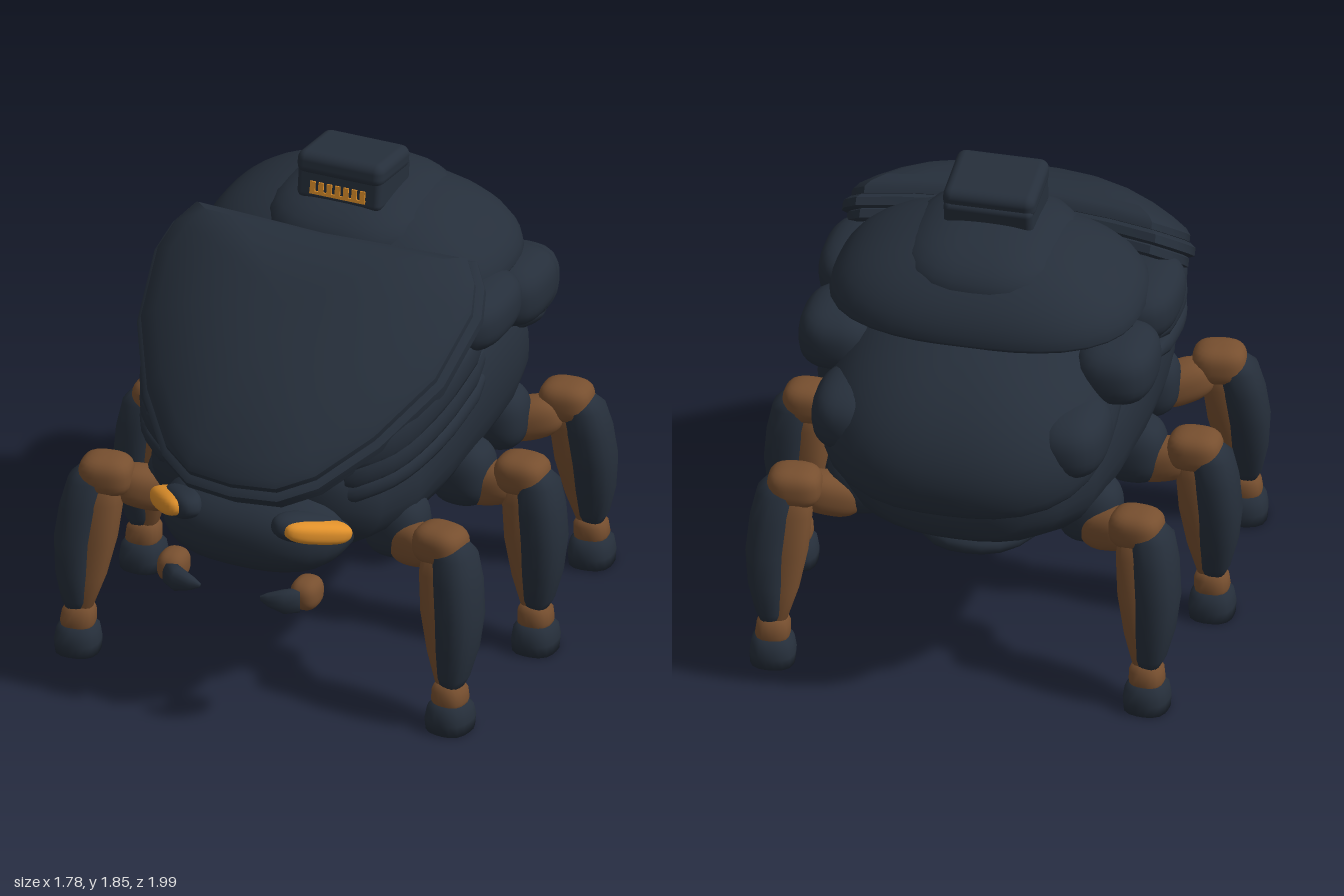
import * as THREE from 'three';
import { mergeVertices, toCreasedNormals } from 'three/addons/utils/BufferGeometryUtils.js';
import { RoundedBoxGeometry } from 'three/addons/geometries/RoundedBoxGeometry.js';

const V = (x, y, z) => new THREE.Vector3(x, y, z);
const paint = (name, color) => {
  const m = new THREE.MeshStandardMaterial({ color });
  m.name = name;
  return m;
};

// Superellipsoid; n and m set plan and upright squareness, low scales the lower half
function blob(rx, ry, rz, n = 2.6, m = n, low = 1, detail = 28) {
  let g = new THREE.SphereGeometry(1, detail, Math.round(detail * 0.65));
  const p = g.attributes.position;
  for (let i = 0; i < p.count; i++) {
    const v = V(0, 0, 0).fromBufferAttribute(p, i);
    const plan = (Math.abs(v.x) ** n + Math.abs(v.z) ** n) ** (m / n);
    const k = (plan + Math.abs(v.y) ** m) ** (-1 / m);
    p.setXYZ(i, v.x * k * rx, v.y * k * ry * (v.y < 0 ? low : 1), v.z * k * rz);
  }
  g.deleteAttribute('uv');
  g.deleteAttribute('normal');
  g = mergeVertices(g, 1e-5);
  g.computeVertexNormals();
  return g;
}

// Closed skin through rings of equal point count, capped, always facing outward
function loft(rings, crease = 0) {
  const m = rings[0].length, pts = rings.flat(), idx = [];
  for (let r = 0; r < rings.length - 1; r++) {
    for (let i = 0; i < m; i++) {
      const a = r * m + i, b = r * m + (i + 1) % m;
      idx.push(a, b, b + m, a, b + m, a + m);
    }
  }
  const cap = (ring, base, flip) => {
    const c = pts.length;
    pts.push(ring.reduce((s, p) => s.add(p), V(0, 0, 0)).divideScalar(m));
    for (let i = 0; i < m; i++) {
      const a = base + i, b = base + (i + 1) % m;
      idx.push(...(flip ? [c, b, a] : [c, a, b]));
    }
  };
  cap(rings[0], 0, true);
  cap(rings[rings.length - 1], (rings.length - 1) * m, false);
  let volume = 0;
  for (let i = 0; i < idx.length; i += 3) {
    volume += pts[idx[i]].dot(V(0, 0, 0).crossVectors(pts[idx[i + 1]], pts[idx[i + 2]]));
  }
  if (volume < 0) idx.reverse();
  const g = new THREE.BufferGeometry().setFromPoints(pts);
  g.setIndex(idx);
  g.computeVertexNormals();
  return crease ? toCreasedNormals(g, crease) : g;
}

// Ring of superellipse points in the plane of two axes
function oval(c, u, v, ru, rv, n = 2.4, count = 24) {
  return Array.from({ length: count }, (_, i) => {
    const a = i / count * Math.PI * 2, x = Math.cos(a), y = Math.sin(a);
    const k = (Math.abs(x) ** n + Math.abs(y) ** n) ** (-1 / n);
    return c.clone().addScaledVector(u, x * k * ru).addScaledVector(v, y * k * rv);
  });
}

// One layer of the sloping front shield, arched across its width
function shieldLayer(scale, n0, n1, dome) {
  const half = [[0, 0.03], [0.2, 0.02], [0.4, 0.005], [0.56, -0.01], [0.62, 0.08], [0.65, 0.2], [0.61, 0.5],
    [0.47, 0.8], [0.31, 1.02], [0.18, 1.11], [0, 1.13]];
  const outline = [...half, ...half.slice(1, -1).reverse().map(([x, t]) => [-x, t])];
  const cs = Math.cos(0.55), sn = Math.sin(0.55), mid = 0.42;
  const ring = (s, n) => outline.map(([x, t]) => {
    const tt = mid + (t - mid) * s * scale, px = x * s * scale;
    const h = n + 0.04 - 0.06 * tt - 0.14 * px * px;
    return V(px, 1.53 - tt * sn + h * cs, tt * cs + h * sn);
  });
  const tops = [0.97, 0.88, 0.75, 0.6, 0.4, 0.2].map(s => ring(s, n1 + dome * (1 - s ** 3)));
  return loft([ring(0.5, n0 + 0.02), ring(0.97, n0), ring(1, n0 + 0.01), ring(1, n1 - 0.01), ...tops], 0.6);
}

// Curved cheek slab wrapping the front quarter of the hull
function cheekSlab(yFront, yBack, grow) {
  const path = new THREE.CatmullRomCurve3([V(0.33, yFront, 0.7), V(0.46, yFront + 0.05, 0.59),
    V(0.535, (yFront + yBack) / 2 + 0.02, 0.36), V(0.55, yBack, -0.01)]);
  const rings = [];
  for (let i = 0; i <= 12; i++) {
    const t = i / 12, d = path.getTangent(t);
    const side = V(d.z, 0, -d.x).normalize();
    const k = i === 0 || i === 12 ? 0.65 : 1;
    rings.push(oval(path.getPoint(t), side, V(0, 1, 0), 0.055 * k, grow * k, 3.5, 16));
  }
  return loft(rings, 0.8);
}

export function createModel() {
  const root = new THREE.Group();
  root.name = 'beetleWalker';
  const dark = paint('slateArmor', 0x262f3b);
  const brown = paint('bronzeJoint', 0x774f2f);
  const amber = paint('amberGlow', 0xe0902a);

  const add = (name, geo, mat, pos = [0, 0, 0], rot = [0, 0, 0], parent = root) => {
    const mesh = new THREE.Mesh(geo, mat);
    mesh.name = name;
    mesh.position.set(...pos);
    mesh.rotation.set(...rot);
    parent.add(mesh);
    return mesh;
  };

  // Hull: z, half width, bottom, top
  const hull = [[0.77, 0.22, 0.8, 1.0], [0.73, 0.36, 0.7, 1.06], [0.63, 0.46, 0.6, 1.1], [0.45, 0.53, 0.56, 1.16],
    [0.2, 0.565, 0.54, 1.3], [-0.1, 0.575, 0.54, 1.4], [-0.4, 0.55, 0.55, 1.35], [-0.62, 0.49, 0.58, 1.2],
    [-0.76, 0.4, 0.64, 1.1], [-0.84, 0.28, 0.7, 1.0]];
  add('hull', loft(hull.map(([z, w, b, t]) =>
    oval(V(0, (b + t) / 2, z), V(1, 0, 0), V(0, 1, 0), w, (t - b) / 2, 2.4, 32))), dark);
  add('bellyPlate', blob(0.28, 0.09, 0.58, 2.5), dark, [0, 0.535, -0.07]);

  // Back shells
  add('rearShell', blob(0.54, 0.35, 0.51, 2.6, 2.1, 0.4, 36), dark, [0, 1.075, -0.51], [-0.38, 0, 0]);
  add('middleShell', blob(0.58, 0.28, 0.42, 2.7, 1.9, 0.3, 40), dark, [0, 1.41, -0.24]);
  add('crownPlate', blob(0.32, 0.16, 0.35, 2.8, 2.3), dark, [0, 1.55, -0.22]);

  // Layered front shield
  add('shieldLower', shieldLayer(0.97, -0.05, 0, 0), dark);
  add('shieldMiddle', shieldLayer(1, -0.005, 0.045, 0.03), dark);
  add('shieldUpper', shieldLayer(0.96, 0.04, 0.085, 0.12), dark);

  // Roof hatch with glowing vent
  const hatch = new THREE.Group();
  hatch.name = 'roofHatch';
  hatch.position.set(0, 1.74, -0.15);
  hatch.rotation.x = -0.13;
  root.add(hatch);
  add('hatchBase', new RoundedBoxGeometry(0.335, 0.14, 0.28, 2, 0.025), dark, [0, -0.02, 0], [0, 0, 0], hatch);
  add('hatchLid', new RoundedBoxGeometry(0.345, 0.09, 0.28, 3, 0.035), dark, [0, 0.05, 0.01], [0, 0, 0], hatch);
  for (let i = -3; i <= 3; i++) {
    add('ventBar', new THREE.BoxGeometry(0.02, 0.045, 0.009), amber, [i * 0.033, -0.036, 0.142], [0, 0, 0], hatch);
  }
  add('ventSill', new THREE.BoxGeometry(0.22, 0.012, 0.009), amber, [0, -0.056, 0.142], [0, 0, 0], hatch);

  // Head
  add('head', blob(0.36, 0.18, 0.29, 2.8, 2.4, 1, 32), dark, [0, 0.74, 0.65]);

  for (const s of [1, -1]) {
    const side = new THREE.Group();
    side.name = s > 0 ? 'leftSide' : 'rightSide';
    side.scale.x = s;
    root.add(side);
    const put = (name, geo, mat, pos, rot) => add(name, geo, mat, pos, rot, side);

    // Side armour pods
    put('sidePod', blob(0.16, 0.115, 0.22, 2.8), dark, [0.51, 1.335, -0.05]);
    put('sidePod', blob(0.15, 0.125, 0.185, 2.8), dark, [0.515, 1.26, -0.4]);
    put('sidePod', blob(0.14, 0.13, 0.19, 2.6), dark, [0.41, 1.1, -0.68]);

    // Cheek slabs
    put('cheekSlab', cheekSlab(1.05, 1.26, 0.07), dark);
    put('cheekSlab', cheekSlab(0.97, 1.16, 0.055), dark);
    put('cheekSlab', cheekSlab(0.9, 1.07, 0.04), dark);

    // Eyes in dark sockets
    const eyeRot = [0, 0.87, -0.26];
    put('eyeSocket', blob(0.135, 0.055, 0.06, 2.6), dark, [0.245, 0.81, 0.84], eyeRot);
    put('eye', blob(0.138, 0.042, 0.052, 2.8), amber, [0.296, 0.804, 0.845], eyeRot);

    // Mandibles
    put('mandibleJoint', blob(0.055, 0.06, 0.07), brown, [0.265, 0.56, 0.87]);
    put('mandibleTip', loft([[0.26, 0.92, 0.045], [0.21, 0.955, 0.045], [0.15, 0.965, 0.025], [0.12, 0.965, 0.008]]
      .map(([x, z, r]) => oval(V(x, 0.55, z), V(0, 1, 0), V(0.4, 0, 0.9), r, r * 0.8, 2.6, 12))), dark);

    // Legs: socket, knee, foot offset from the knee, yaw
    const legs = [
      ['front', [0.43, 0.43], [0.665, 0.57], [0.075, 0.085], -0.15],
      ['middle', [0.49, -0.03], [0.72, -0.04], [0.06, 0.015], 0],
      ['rear', [0.43, -0.47], [0.64, -0.62], [0.06, -0.09], 0.1],
    ];
    for (const [label, socket, knee, foot, yaw] of legs) {
      put(label + 'LegSocket', blob(0.12, 0.13, 0.11), dark, [socket[0], 0.67, socket[1]]);
      put(label + 'Hip', blob(0.125, 0.08, 0.075), brown,
        [(socket[0] + knee[0]) / 2 - 0.01, 0.635, (socket[1] + knee[1]) / 2], [0, yaw * 3, 0.25]);
      const leg = new THREE.Group();
      leg.name = label + 'Leg';
      leg.position.set(knee[0], 0, knee[1]);
      side.add(leg);
      const out = V(Math.cos(yaw), 0, -Math.sin(yaw)), fore = V(Math.sin(yaw), 0, Math.cos(yaw));
      const column = (name, rows, mat, shift, bow) => add(name, loft(rows.map(([y, rx, rz]) => {
        const t = THREE.MathUtils.clamp((0.72 - y) / 0.58, 0, 1);
        const c = V(foot[0] * t, y, foot[1] * t);
        c.addScaledVector(out, bow * Math.sin(Math.PI * t) + shift * (1 - t));
        return oval(c, out, fore, rx, rz, 2.7, 18);
      })), mat, [0, 0, 0], [0, 0, 0], leg);
      add('knee', blob(0.1, 0.075, 0.085, 3), brown, [0, 0.7, 0], [0, yaw, 0], leg);
      column('shinArmor', [[0.72, 0.045, 0.055], [0.68, 0.075, 0.085], [0.58, 0.08, 0.098], [0.45, 0.08, 0.098],
        [0.32, 0.07, 0.085], [0.21, 0.055, 0.06], [0.17, 0.04, 0.045]], dark, 0.055, 0.033);
      column('innerShin', [[0.7, 0.06, 0.06], [0.6, 0.075, 0.075], [0.45, 0.075, 0.075], [0.3, 0.065, 0.06],
        [0.17, 0.045, 0.045]], brown, 0, -0.012);
      column('ankle', [[0.08, 0.055, 0.055], [0.12, 0.065, 0.065], [0.16, 0.062, 0.062], [0.19, 0.045, 0.045]],
        brown, 0, 0);
      column('foot', [[0, 0.082, 0.085], [0.045, 0.085, 0.092], [0.09, 0.078, 0.082], [0.118, 0.055, 0.055]], dark, 0, 0);
    }
  }
  return root;
}
